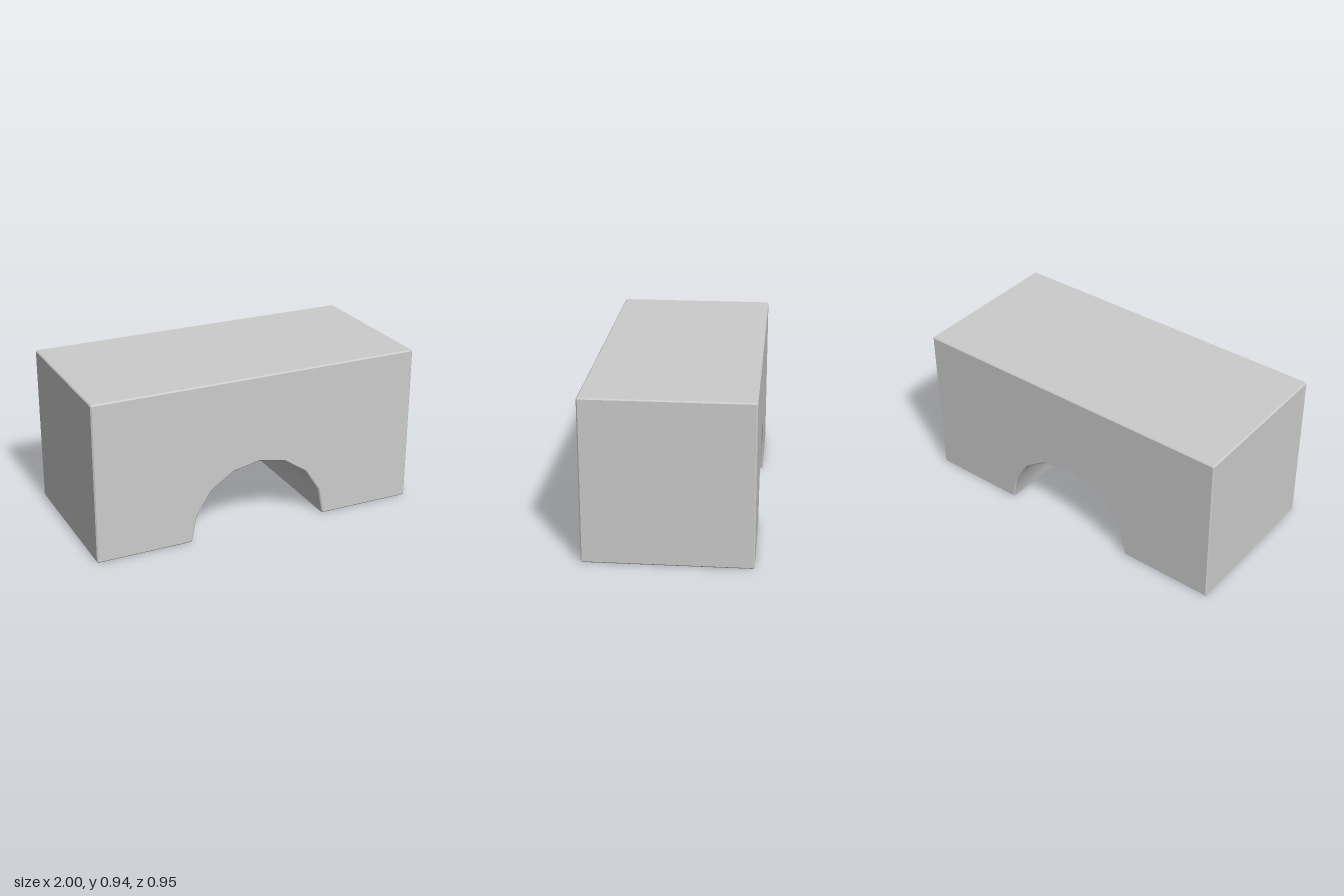
import * as THREE from 'three';
import { toCreasedNormals } from 'three/addons/utils/BufferGeometryUtils.js';

const W = 1, H = 0.945, D = 0.945; // half width, height, depth
const R = 0.425, SEGMENTS = 8;     // arch opening
const B = 0.007;                   // edge chamfer

export function createModel() {
  const group = new THREE.Group();
  group.name = 'archBlock';

  // Outline with chamfered outer corners, counter-clockwise from the bottom left
  const points = [[-W, B], [-W + B, 0]];
  // Faceted half-circle opening
  for (let i = 0; i <= SEGMENTS; i++) {
    const a = Math.PI * (1 - i / SEGMENTS);
    points.push([R * Math.cos(a), R * Math.sin(a)]);
  }
  points.push([W - B, 0], [W, B], [W, H - B], [W - B, H], [-W + B, H], [-W, H - B]);
  const outline = new THREE.Shape(points.map(([x, y]) => new THREE.Vector2(x, y)));

  // Extrude along z, chamfering the front and back edges inward
  const geometry = new THREE.ExtrudeGeometry(outline, {
    depth: D - 2 * B,
    bevelEnabled: true,
    bevelThickness: B,
    bevelSize: B,
    bevelOffset: -B,
    bevelSegments: 1,
  });
  geometry.translate(0, 0, -D / 2 + B);

  // Smooth across the arch, sharp at the chamfers
  const block = new THREE.Mesh(
    toCreasedNormals(geometry, 0.5),
    new THREE.MeshStandardMaterial({ color: 0xcccccc })
  );
  block.name = 'archedBlock';
  group.add(block);
  return group;
}
